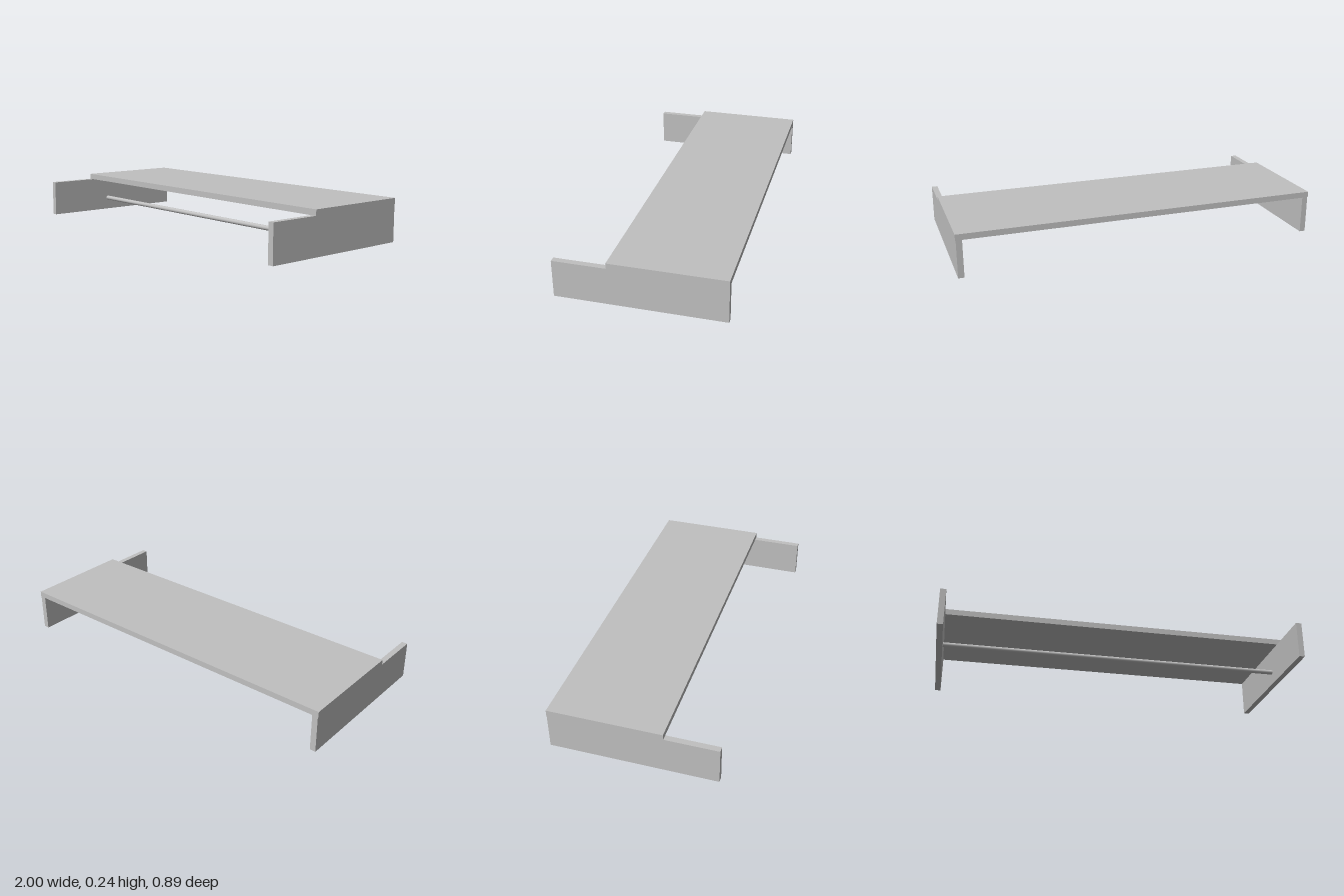
import * as THREE from 'three';

export function createModel() {
  const group = new THREE.Group();
  const grey = new THREE.MeshStandardMaterial({ color: 0xc0c0c0 });
  grey.name = 'plain grey';

  const add = (name, geometry, x, y, z) => {
    const mesh = new THREE.Mesh(geometry, grey);
    mesh.name = name;
    mesh.position.set(x, y, z);
    group.add(mesh);
    return mesh;
  };

  // Top board, flush with the back of the side panels
  add('shelf', new THREE.BoxGeometry(2, 0.032, 0.61), 0, 0.221, -0.142);

  // Side panels standing on the ground, reaching out past the shelf
  for (const [name, side] of [['leftPanel', 1], ['rightPanel', -1]]) {
    add(name, new THREE.BoxGeometry(0.032, 0.205, 0.894), side * 0.981, 0.1025, 0);
  }

  // Round hanging rail between the panels
  const rail = add('rail', new THREE.CylinderGeometry(0.013, 0.013, 1.93, 32), 0, 0.073, 0.05);
  rail.rotation.z = Math.PI / 2;

  return group;
}
